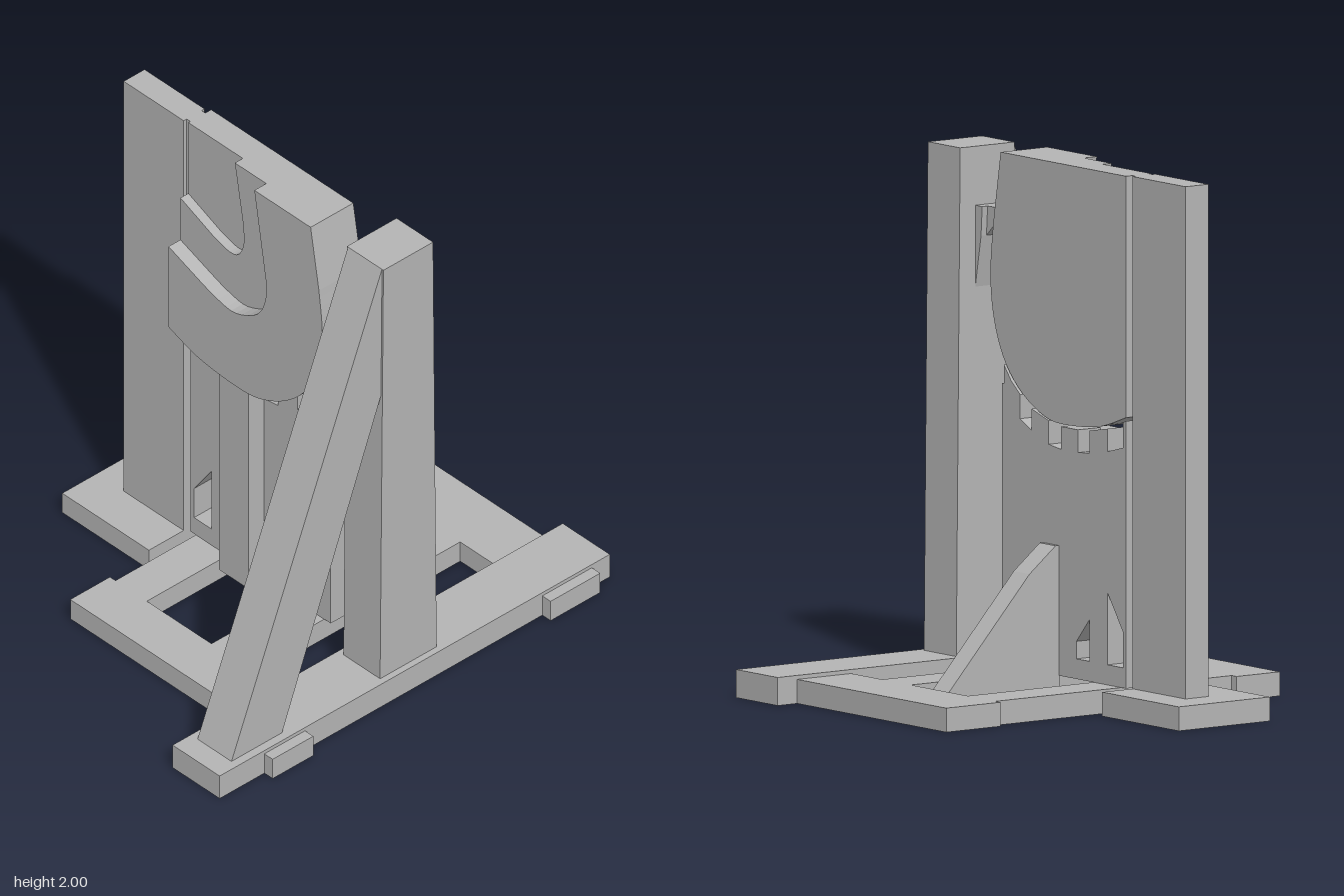
import * as THREE from 'three';

const grey = new THREE.MeshStandardMaterial({ color: 0xb4b4b4 });
grey.name = 'plain grey';

const v = ([x, y]) => new THREE.Vector2(x, y);

export function createModel() {
  const model = new THREE.Group();

  const add = (name, geometry) => {
    const mesh = new THREE.Mesh(geometry, grey);
    mesh.name = name;
    model.add(mesh);
  };

  // Box given by its limits on each axis
  const box = (name, [x0, x1], [y0, y1], [z0, z1]) => {
    const g = new THREE.BoxGeometry(x1 - x0, y1 - y0, z1 - z0);
    g.translate((x0 + x1) / 2, (y0 + y1) / 2, (z0 + z1) / 2);
    add(name, g);
  };

  // Outline in (x, y) pushed from z0 to z1
  const slab = (name, points, z0, z1, holes = []) => {
    const shape = new THREE.Shape(points.map(v));
    holes.forEach((h) => shape.holes.push(new THREE.Path(h.map(v))));
    const g = new THREE.ExtrudeGeometry(shape, { depth: z1 - z0, bevelEnabled: false });
    add(name, g.translate(0, 0, z0));
  };

  // Outline in (z, y) pushed from x0 to x1
  const sideSlab = (name, points, x0, x1) => {
    const g = new THREE.ExtrudeGeometry(new THREE.Shape(points.map(v)), { depth: x1 - x0, bevelEnabled: false });
    add(name, g.rotateY(-Math.PI / 2).translate(x1, 0, 0));
  };

  const smooth = (points, n = 36) =>
    new THREE.SplineCurve(points.map(v)).getPoints(n).map((p) => [p.x, p.y]);

  // Ground frame
  box('sideBeam', [0.55, 0.805], [0, 0.105], [-0.985, 0.98]);
  box('backBeam', [-0.365, 0.85], [0, 0.09], [-0.895, -0.645]);
  box('frontBeam', [-0.365, 0.56], [0, 0.09], [0.445, 0.645]);
  box('frontBeamStub', [0.8, 0.85], [0, 0.09], [0.55, 0.755]);
  for (const x of [[-0.335, -0.165], [0.185, 0.36]]) box('crossBeam', x, [0, 0.09], [-0.65, 0.45]);

  // Separate slab post on its pad, joined to the panel by a thin strip
  box('postPad', [-0.855, -0.385], [0, 0.09], [-0.19, 0.23]);
  box('slabPost', [-0.71, -0.385], [0.09, 2], [-0.05, 0.055]);
  box('joiningStrip', [-0.386, -0.364], [1.3, 2], [-0.035, 0.04]);

  // Tapered tall post and its diagonal brace
  sideSlab('tallPost', [[-0.138, 0.1], [0.147, 0.1], [0.13, 2], [-0.12, 2]], 0.58, 0.778);
  sideSlab('diagonalBrace', [[0.635, 0.1], [0.89, 0.1], [0.13, 2], [0.125, 1.44]], 0.586, 0.77);

  // Rounded panel with two stepped recesses
  const rim = [
    [-0.365, 1.1], ...smooth([[-0.36, 1.098], [-0.2, 1.047], [0, 1.03], [0.13, 1.045], [0.27, 1.115],
      [0.38, 1.225], [0.445, 1.37], [0.468, 1.54], [0.45, 1.73]]), [0.405, 2],
  ];
  const outerStep = [
    [0.1, 2], ...smooth([[0.155, 1.66], [0.165, 1.55], [0.12, 1.435], [0, 1.37], [-0.1, 1.38], [-0.18, 1.405]], 20),
    [-0.365, 1.475],
  ];
  const innerStep = [
    [-0.07, 2], ...smooth([[-0.025, 1.74], [-0.022, 1.65], [-0.05, 1.585], [-0.1, 1.57], [-0.18, 1.59]], 16),
    [-0.365, 1.67],
  ];
  slab('panelBack', [...rim, [-0.365, 2]], -0.065, 0.05);
  slab('panelMiddleStep', [...rim, ...innerStep], 0.05, 0.09);
  slab('panelFrontStep', [...rim, ...outerStep], 0.09, 0.15);

  // Toothed plate under the panel
  slab('toothedPlate', [
    [-0.365, 0.09], [0.395, 0.09], [0.395, 1.14], [0.385, 1.14],
    [0.385, 1.21], [0.34, 1.155], [0.285, 1.11], [0.285, 1.02], [0.215, 0.985],
    [0.215, 1.065], [0.11, 1.033], [0.11, 0.945], [0.035, 0.935],
    [0.035, 1.02], [-0.07, 1.02], [-0.07, 0.935], [-0.14, 0.942],
    [-0.14, 1.025], [-0.25, 1.045], [-0.25, 0.96], [-0.345, 0.985],
    [-0.345, 1.08], [-0.365, 1.087],
  ], -0.065, 0.04, [
    [[-0.345, 0.165], [-0.345, 0.3], [-0.25, 0.435], [-0.25, 0.165]],
    [[-0.14, 0.165], [-0.14, 0.32], [-0.06, 0.23], [-0.06, 0.165]],
  ]);
  box('frontBatten', [-0.125, 0.035], [0.09, 1.013], [0.03, 0.12]);
  sideSlab('backBrace', [[-0.06, 0.03], [-0.61, 0.03], [-0.2, 0.48], [-0.08, 0.575], [-0.06, 0.575]], 0.048, 0.145);

  // Arm and wedge bracket between panel and tall post
  slab('bracketArm', [[0.43, 1.745], [0.462, 1.745], [0.545, 1.67], [0.585, 1.67], [0.585, 1.78], [0.43, 1.78]], -0.025, 0.02);
  slab('bracketWedge', [[0.538, 1.78], [0.545, 1.67], [0.583, 1.46], [0.583, 1.78]], -0.05, 0.05);

  return model;
}
